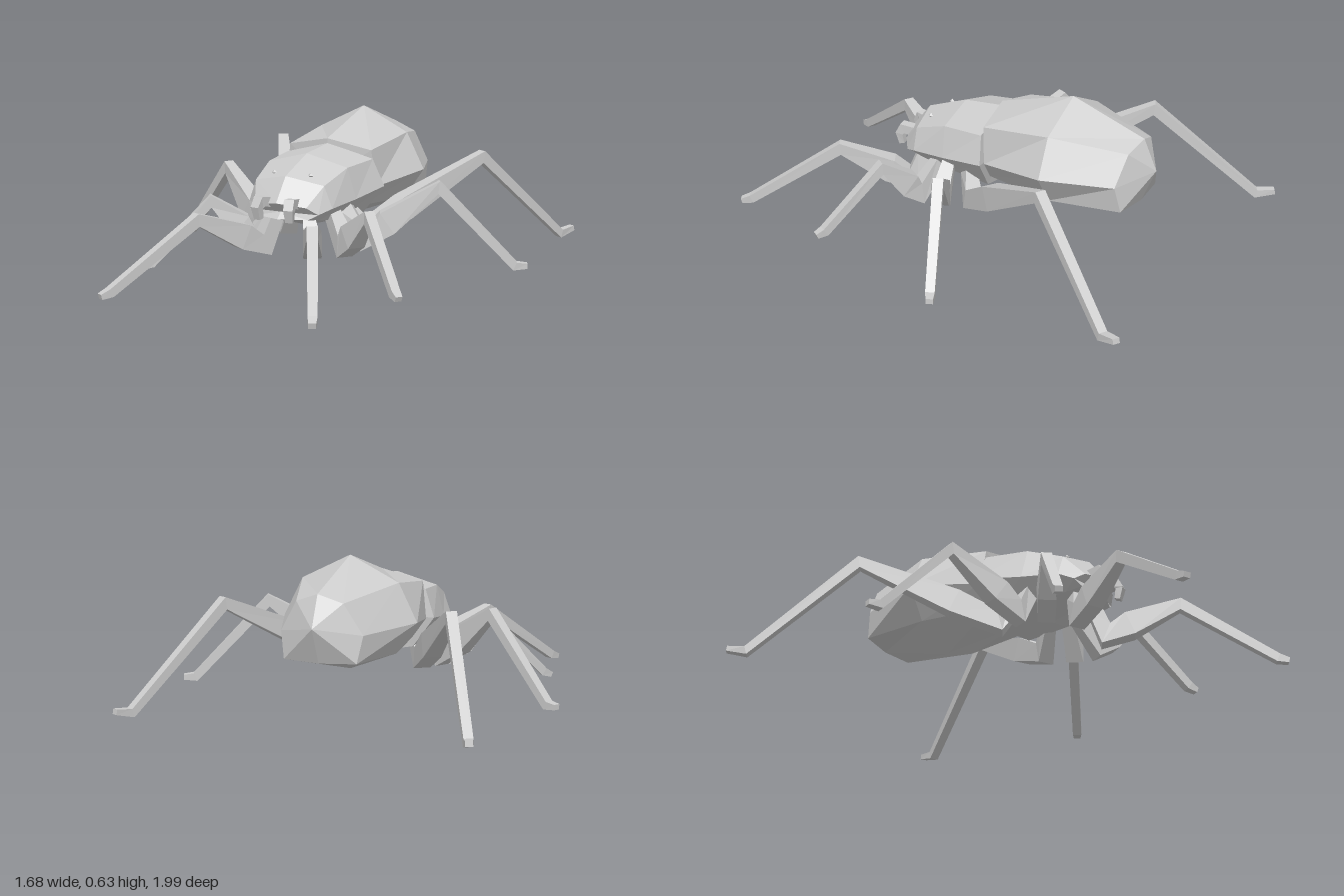
import * as THREE from 'three';

const grey = new THREE.MeshStandardMaterial({ color: 0xcccccc });
grey.name = 'grey chitin';
grey.flatShading = true;

// Skin closed rings of points; each ring runs clockwise seen from the far end.
function loft(name, rings, tips = []) {
  const pos = [];
  const tri = (...p) => p.forEach(v => pos.push(v.x, v.y, v.z));
  const n = rings[0].length;
  const centre = r => r.reduce((s, v) => s.add(v), new THREE.Vector3()).divideScalar(n);
  const first = rings[0], last = rings[rings.length - 1];
  const c0 = tips[0] || centre(first), c1 = tips[1] || centre(last);
  for (let i = 0; i < n; i++) {
    const j = (i + 1) % n;
    for (let k = 0; k < rings.length - 1; k++) {
      const a = rings[k], b = rings[k + 1];
      tri(a[i], b[i], b[j]);
      tri(a[i], b[j], a[j]);
    }
    tri(c0, first[i], first[j]);
    tri(c1, last[j], last[i]);
  }
  const g = new THREE.BufferGeometry();
  g.setAttribute('position', new THREE.Float32BufferAttribute(pos, 3));
  g.computeVertexNormals();
  const mesh = new THREE.Mesh(g, grey);
  mesh.name = name;
  return mesh;
}

// Half cross-section (top centre to bottom centre) mirrored into a full ring.
function mirrorRing(half) {
  const right = half.map(p => new THREE.Vector3(...p));
  const left = half.slice(1, -1).reverse().map(([x, y, z]) => new THREE.Vector3(-x, y, z));
  return [...right, ...left];
}

// Four-sided limb along a path of [x, y, z, halfWidth, halfHeight].
function limb(name, path, side) {
  const pts = path.map(p => new THREE.Vector3(p[0] * side, p[1], p[2]));
  const end = pts[pts.length - 1];
  const h = end.clone().sub(pts[0]).setY(0).normalize();
  const s = new THREE.Vector3(0, 1, 0).cross(h).normalize();
  const rings = pts.map((p, i) => {
    const t = new THREE.Vector3();
    if (i > 0) t.add(p.clone().sub(pts[i - 1]).normalize());
    if (i < pts.length - 1) t.add(pts[i + 1].clone().sub(p).normalize());
    const n = t.normalize().clone().cross(s).normalize();
    const [, , , w, d] = path[i];
    return [[-1, 1], [1, 1], [1, -1], [-1, -1]].map(([a, b]) =>
      p.clone().addScaledVector(s, a * w).addScaledVector(n, b * d));
  });
  return loft(name, rings);
}

// Leg from hip, low thigh joint, knee, ankle and toe.
function leg(name, hip, low, knee, ankle, toe, side) {
  const mix = low.map((v, i) => v + (knee[i] - v) * 0.32);
  return limb(name, [
    [...hip, 0.025, 0.03],
    [...low, 0.036, 0.048],
    [...mix, 0.038, 0.052],
    [...knee, 0.022, 0.026],
    [...ankle, 0.019, 0.018],
    [...toe, 0.015, 0.011],
  ], side);
}

export function createModel() {
  const model = new THREE.Group();
  model.name = 'spider';

  const body = new THREE.Group();
  body.name = 'body';
  body.position.x = -0.012;
  model.add(body);

  // Faceted abdomen with a flat lower rear, rear to front
  body.add(loft('abdomen', [
    [[0, 0.525, -0.705], [0.1, 0.49, -0.685], [0.175, 0.365, -0.665], [0.155, 0.255, -0.685], [0, 0.25, -0.70]],
    [[0, 0.638, -0.377], [0.21, 0.535, -0.377], [0.29, 0.378, -0.38], [0.2, 0.248, -0.377], [0, 0.173, -0.377]],
    [[0, 0.54, -0.04], [0.195, 0.5, -0.065], [0.215, 0.345, -0.08], [0.15, 0.26, -0.07], [0, 0.215, -0.06]],
  ].map(mirrorRing), [new THREE.Vector3(0, 0.395, -0.763), new THREE.Vector3(0, 0.37, -0.04)]));

  // Carapace with a broad, steep brow
  body.add(loft('carapace', [
    [[0, 0.52, -0.05], [0.205, 0.465, -0.06], [0.25, 0.35, -0.08], [0.15, 0.22, -0.06], [0, 0.19, -0.05]],
    [[0, 0.503, 0.14], [0.185, 0.455, 0.13], [0.22, 0.325, 0.12], [0.14, 0.235, 0.13], [0, 0.2, 0.14]],
    [[0, 0.435, 0.32], [0.16, 0.402, 0.285], [0.195, 0.31, 0.28], [0.13, 0.255, 0.28], [0, 0.245, 0.3]],
    [[0, 0.335, 0.4], [0.12, 0.32, 0.365], [0.16, 0.29, 0.335], [0.12, 0.268, 0.35], [0, 0.268, 0.39]],
  ].map(mirrorRing)));

  for (const side of [1, -1]) {
    const label = side > 0 ? 'left' : 'right';

    // Small eyes on the brow
    const eye = new THREE.Mesh(new THREE.OctahedronGeometry(0.012), grey);
    eye.name = label + 'Eye';
    eye.position.set(0.085 * side, 0.435, 0.262);
    body.add(eye);

    // Hooked mandibles
    body.add(limb(label + 'Mandible', [
      [0.06, 0.33, 0.35, 0.022, 0.022],
      [0.07, 0.34, 0.41, 0.022, 0.022],
      [0.075, 0.315, 0.425, 0.02, 0.016],
      [0.072, 0.268, 0.415, 0.015, 0.012],
    ], side));

    // Four pairs of legs, front to back
    model.add(
      leg(label + 'FrontLeg', [0.08, 0.26, 0.29], [0.115, 0.145, 0.325], [0.265, 0.28, 0.6], [0.455, 0.032, 0.945], [0.475, 0.02, 0.985], side),
      leg(label + 'SecondLeg', [0.13, 0.27, 0.18], [0.215, 0.15, 0.23], [0.37, 0.30, 0.32], [0.565, 0.045, 0.48], [0.594, 0.03, 0.503], side),
      leg(label + 'ThirdLeg', [0.15, 0.30, 0.12], [0.235, 0.16, 0.11], [0.505, 0.375, -0.05], [0.79, 0.045, -0.19], [0.835, 0.045, -0.215], side),
      leg(label + 'BackLeg', [0.13, 0.26, 0.04], [0.185, 0.165, -0.01], [0.492, 0.432, -0.51], [0.705, 0.04, -0.91], [0.735, 0.055, -0.985], side),
    );
  }
  return model;
}
